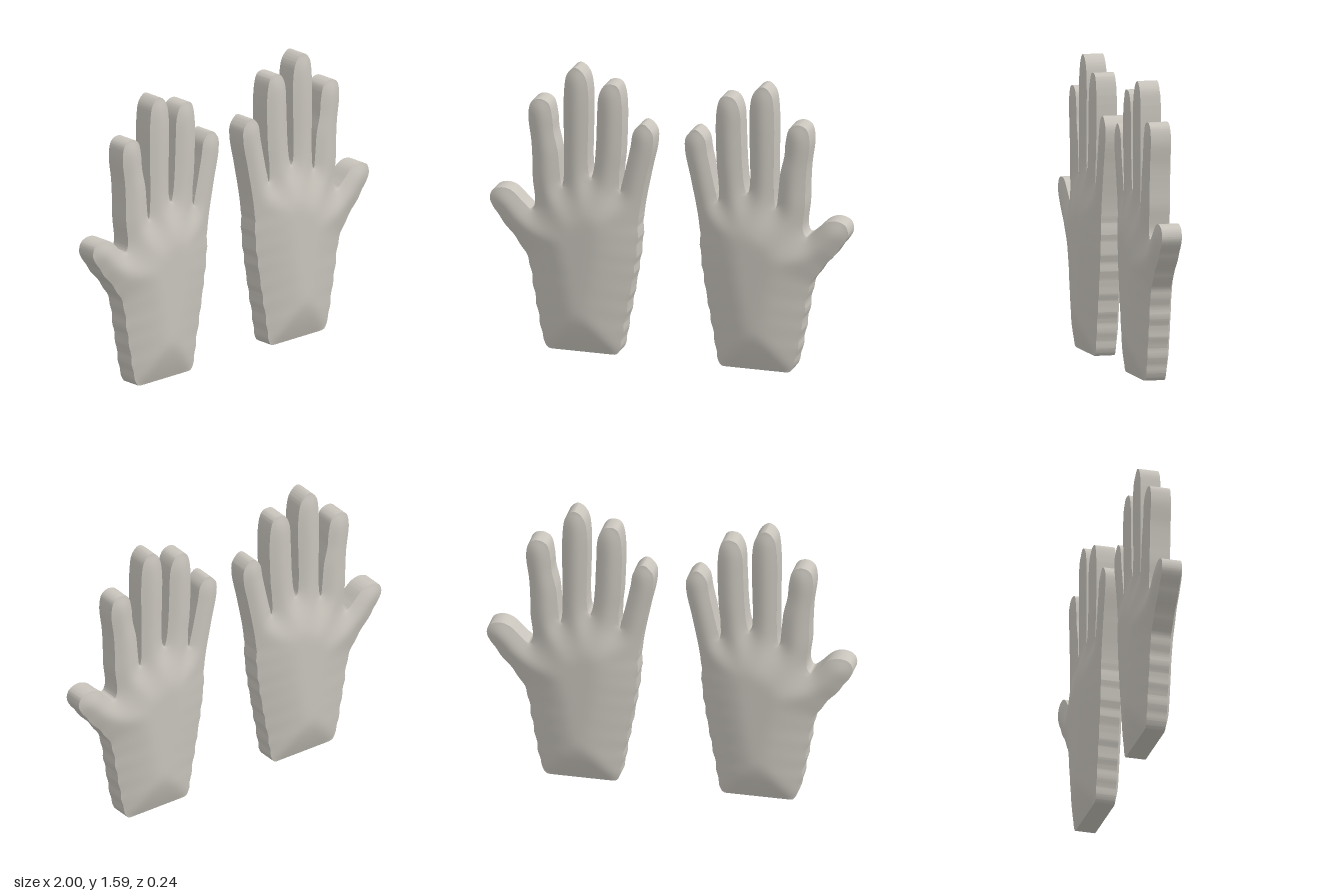
import * as THREE from 'three';

// Glove outline, from the wrist up over the little finger round to the thumb
const OUTLINE = [
  [0.30, 0], [0.275, 0.03], [0.255, 0.15], [0.22, 0.34], [0.18, 0.60], [0.168, 0.80], [0.125, 1.03],
  [0.09, 1.20], [0.095, 1.27], [0.145, 1.315], [0.195, 1.275], [0.215, 1.18], [0.255, 1.0], [0.276, 0.92],
  [0.278, 1.03], [0.268, 1.13], [0.268, 1.45], [0.295, 1.515], [0.355, 1.515], [0.39, 1.46],
  [0.402, 1.30], [0.408, 1.15], [0.422, 1.02], [0.438, 0.98], [0.452, 1.03],
  [0.452, 1.47], [0.475, 1.56], [0.523, 1.595], [0.567, 1.56], [0.585, 1.47],
  [0.585, 1.05], [0.59, 0.95], [0.60, 0.92], [0.612, 1.02], [0.622, 1.12], [0.645, 1.22],
  [0.652, 1.30], [0.675, 1.38], [0.725, 1.40], [0.768, 1.38], [0.785, 1.31], [0.768, 1.16],
  [0.762, 1.05], [0.76, 0.95], [0.748, 0.81], [0.768, 0.775], [0.805, 0.80],
  [0.875, 0.865], [0.93, 0.88], [0.985, 0.86], [1.0, 0.81], [0.97, 0.75], [0.90, 0.66],
  [0.82, 0.56], [0.78, 0.48], [0.755, 0.34], [0.72, 0.15], [0.70, 0.05], [0.675, 0.005], [0.65, 0],
];
const EDGE = 0.055;   // half thickness at the rim
const PUFF = 0.065;   // extra thickness in the middle of the palm
const REACH = 0.22;   // distance over which the padding rises
const STEP = 0.0125;

function outlinePoints() {
  const curve = new THREE.CatmullRomCurve3(
    OUTLINE.map(([x, y]) => new THREE.Vector3(x, y, 0)), true, 'centripetal');
  return curve.getPoints(360).map((p) => {
    // soft ripples down both sides of the cuff
    const ripple = p.y > 0.06 && p.y < 0.74 ? 0.004 * Math.sin(p.y * 58) : 0;
    return [p.x + (p.x > 0.47 ? ripple : -ripple), Math.max(0, p.y)];
  });
}

// Distance to the outline, positive inside
function signedDistance(points, x, y) {
  let best = Infinity;
  let inside = false;
  for (let i = 0, j = points.length - 1; i < points.length; j = i++) {
    const [ax, ay] = points[j];
    const [bx, by] = points[i];
    const dx = bx - ax, dy = by - ay;
    const len = dx * dx + dy * dy || 1e-12;
    const t = Math.min(1, Math.max(0, ((x - ax) * dx + (y - ay) * dy) / len));
    best = Math.min(best, Math.hypot(x - ax - t * dx, y - ay - t * dy));
    if ((ay > y) !== (by > y) && x < ax + ((y - ay) / dy) * dx) inside = !inside;
  }
  const d = Math.max(best, 1e-4);
  return inside ? d : -d;
}

function gloveGeometry() {
  const points = outlinePoints();
  const x0 = 0.06, y0 = -0.031;
  const nx = Math.ceil(0.98 / STEP), ny = Math.ceil(1.67 / STEP);
  const w = nx + 1;
  const dist = [];
  for (let j = 0; j <= ny; j++) {
    for (let i = 0; i <= nx; i++) dist.push(signedDistance(points, x0 + i * STEP, y0 + j * STEP));
  }

  // Padding height follows the distance from the rim, then is softened
  let puff = dist.map((d) => PUFF * (1 - Math.pow(1 - Math.min(1, d / REACH), 1.4)));
  for (let n = 0; n < 8; n++) {
    puff = puff.map((h, k) => (dist[k] < 0 ? h
      : (puff[k - 1] + puff[k + 1] + puff[k - w] + puff[k + w]) / 4));
  }

  const position = [], index = [];
  const made = new Map();
  // Each point has four copies: front, back, and the two ends of the side wall
  function vertex(key, x, y, h) {
    if (!made.has(key)) {
      made.set(key, position.length / 3);
      const z = EDGE + Math.max(0, h);
      position.push(x, y, z, x, y, -z, x, y, z, x, y, -z);
    }
    return made.get(key);
  }
  const gridVertex = (k) => vertex(`${k}`, x0 + (k % w) * STEP, y0 + Math.floor(k / w) * STEP, puff[k]);
  function rimVertex(k, m) {
    const a = Math.min(k, m), b = Math.max(k, m);
    const t = dist[a] / (dist[a] - dist[b]);
    const ax = a % w, ay = Math.floor(a / w);
    const bx = b % w, by = Math.floor(b / w);
    return vertex(`${a}_${b}`, x0 + (ax + t * (bx - ax)) * STEP, y0 + (ay + t * (by - ay)) * STEP, 0);
  }

  // Keep the part of a grid triangle inside the outline, and wall its cut edge
  function addTriangle(corners) {
    const poly = [];
    let leave = -1, enter = -1;
    corners.forEach((a, n) => {
      const b = corners[(n + 1) % 3];
      if (dist[a] > 0) poly.push(gridVertex(a));
      if ((dist[a] > 0) !== (dist[b] > 0)) {
        const r = rimVertex(a, b);
        poly.push(r);
        if (dist[a] > 0) leave = r; else enter = r;
      }
    });
    for (let n = 1; n + 1 < poly.length; n++) {
      index.push(poly[0], poly[n], poly[n + 1]);
      index.push(poly[0] + 1, poly[n + 1] + 1, poly[n] + 1);
    }
    if (leave >= 0) {
      index.push(enter + 2, leave + 2, leave + 3, enter + 2, leave + 3, enter + 3);
    }
  }
  for (let j = 0; j < ny; j++) {
    for (let i = 0; i < nx; i++) {
      const k = j * w + i;
      addTriangle([k, k + 1, k + w + 1]);
      addTriangle([k, k + w + 1, k + w]);
    }
  }

  const geometry = new THREE.BufferGeometry();
  geometry.setAttribute('position', new THREE.Float32BufferAttribute(position, 3));
  geometry.setIndex(index);
  geometry.computeVertexNormals();
  return geometry;
}

export function createModel() {
  const group = new THREE.Group();
  group.name = 'pairOfGloves';
  const fabric = new THREE.MeshStandardMaterial({ color: 0xc8c4bc });
  fabric.name = 'warm grey fabric';
  const geometry = gloveGeometry();

  const leftGlove = new THREE.Mesh(geometry, fabric);
  leftGlove.name = 'leftGlove';
  // Front and back are alike, so a half turn gives the mirrored glove
  const rightGlove = new THREE.Mesh(geometry, fabric);
  rightGlove.name = 'rightGlove';
  rightGlove.rotation.y = Math.PI;

  group.add(leftGlove, rightGlove);
  return group;
}
